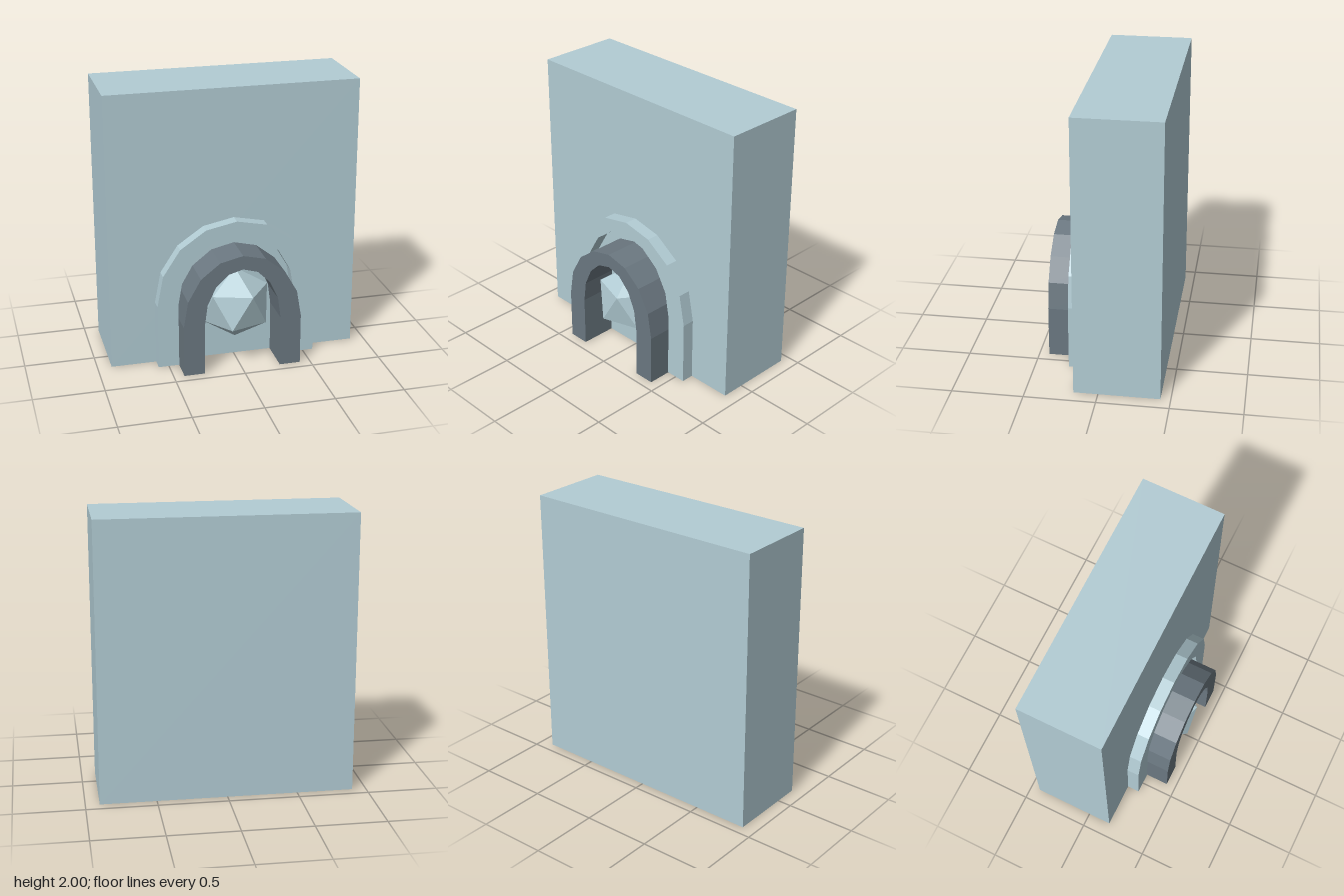
import * as THREE from 'three';

// Arch outline: straight legs up to springY, then a faceted half ellipse
function archPoints(rx, springY, topY, baseY) {
  const pts = [new THREE.Vector2(rx, baseY)];
  for (let i = 0; i <= 8; i++) {
    const a = (i / 8) * Math.PI;
    pts.push(new THREE.Vector2(rx * Math.cos(a), springY + (topY - springY) * Math.sin(a)));
  }
  pts.push(new THREE.Vector2(-rx, baseY));
  return pts;
}

// Solid arch band between an outer and an inner outline
function archBand(outer, inner, springY, baseY, zBack, zFront) {
  const shape = new THREE.Shape([
    ...archPoints(outer.rx, springY, outer.top, baseY),
    ...archPoints(inner.rx, springY, inner.top, baseY).reverse(),
  ]);
  const geo = new THREE.ExtrudeGeometry(shape, { depth: zFront - zBack, bevelEnabled: false });
  geo.translate(0, 0, zBack);
  return geo;
}

export function createModel() {
  const group = new THREE.Group();
  const paleStone = new THREE.MeshStandardMaterial({ color: 0xb2ccd4, flatShading: true });
  paleStone.name = 'pale stone';
  const darkStone = new THREE.MeshStandardMaterial({ color: 0x6b7881, flatShading: true });
  darkStone.name = 'dark stone';

  const add = (name, geometry, material) => {
    const mesh = new THREE.Mesh(geometry, material);
    mesh.name = name;
    group.add(mesh);
    return mesh;
  };

  // Wall slab
  add('wall', new THREE.BoxGeometry(1.8, 2, 0.6).translate(0, 1, -0.13), paleStone);

  // Shallow surround on the wall face
  add('outerArch', archBand({ rx: 0.575, top: 1.06 }, { rx: 0.425, top: 0.96 }, 0.47, 0, 0.16, 0.26), paleStone);

  // Projecting arch, running back into the wall; feet a hair lower so they show beneath
  add('innerArch', archBand({ rx: 0.425, top: 0.87 }, { rx: 0.275, top: 0.77 }, 0.37, -0.002, -0.07, 0.43), darkStone);

  // Faceted crystal in the opening, standing on one vertex
  const crystal = new THREE.IcosahedronGeometry(0.268, 0);
  crystal.rotateZ(-Math.atan(2 / (1 + Math.sqrt(5))));
  add('crystal', crystal, paleStone).position.set(0, 0.422, 0.2);

  return group;
}
